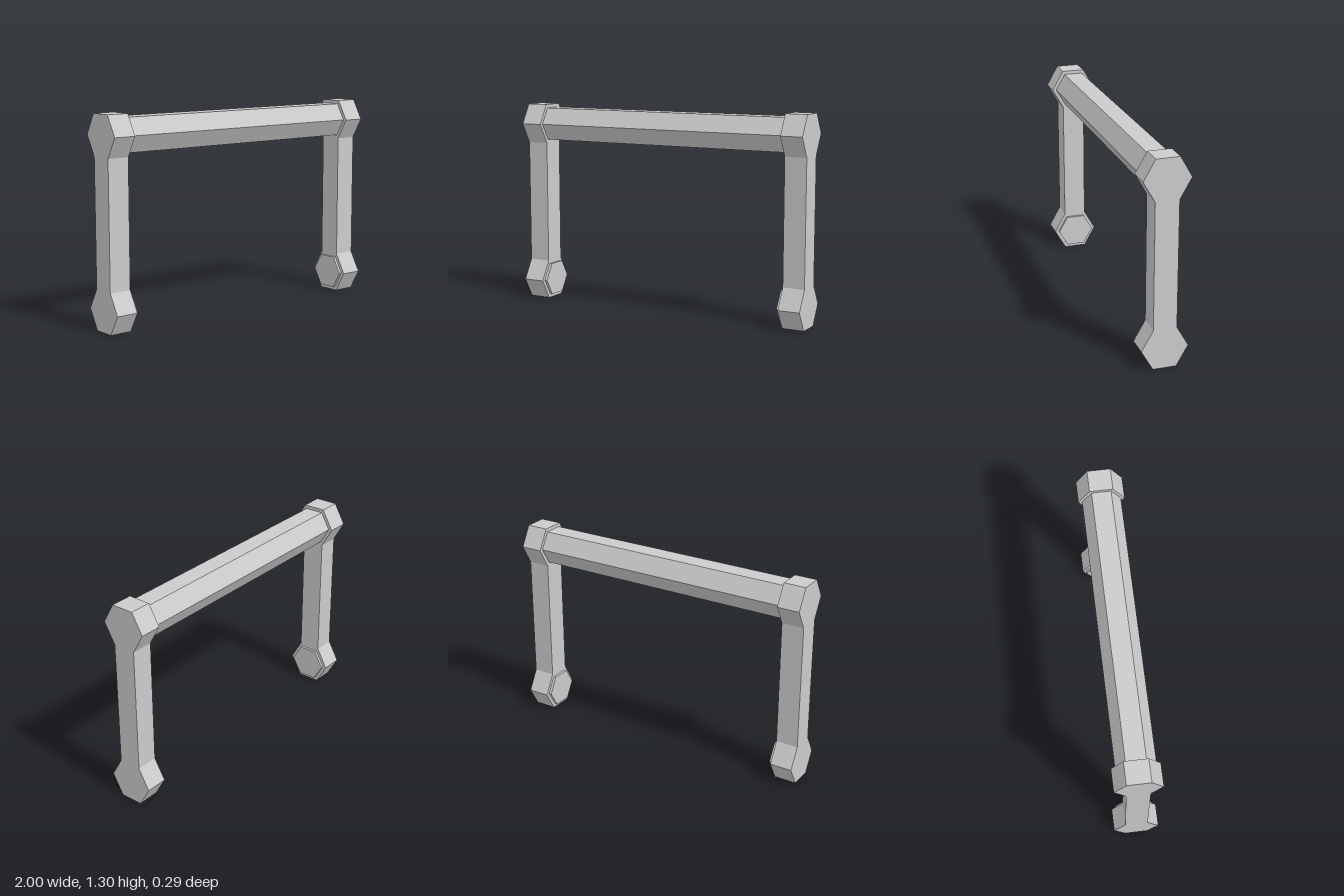
import * as THREE from 'three';

const OUTER = 1, INNER = 0.858;          // leg extents along x
const R = 0.145, H = 0.1275;             // joint radius and half height
const LOW = 0.1275, HIGH = 1.1775;       // joint centres

export function createModel() {
  const group = new THREE.Group();
  const material = new THREE.MeshStandardMaterial({ color: 0xcccccc, flatShading: true });

  // Extrudes a (z, y) outline along x from x0 to x1
  function prism(name, points, x0, x1) {
    const shape = new THREE.Shape(points.map(([z, y]) => new THREE.Vector2(z, y)));
    const geometry = new THREE.ExtrudeGeometry(shape, { depth: x1 - x0, bevelEnabled: false });
    geometry.rotateY(Math.PI / 2).translate(x0, 0, 0);
    const mesh = new THREE.Mesh(geometry, material);
    mesh.name = name;
    group.add(mesh);
  }

  // Hexagon with flat top and bottom
  const hexagon = (r, cy) => Array.from({ length: 6 }, (_, i) => {
    const a = i * Math.PI / 3;
    return [r * Math.cos(a), cy + r * Math.sin(a)];
  });

  // Leg outline: a straight post with a hexagonal joint at each end
  const half = [
    [R / 2, LOW - H], [R, LOW], [R / 2, LOW + H],
    [R / 2, HIGH - H], [R, HIGH], [R / 2, HIGH + H],
  ];
  const legOutline = [...half, ...half.map(([z, y]) => [-z, y]).reverse()];

  // Legs with a thin hexagonal pad on the inside of each foot
  prism('leftLeg', legOutline, INNER, OUTER);
  prism('rightLeg', legOutline, -OUTER, -INNER);
  prism('leftFootPad', hexagon(0.121, LOW + 0.001), INNER - 0.018, INNER);
  prism('rightFootPad', hexagon(0.121, LOW + 0.001), -INNER, -INNER + 0.018);

  // Crossbar between the upper joints
  prism('crossbar', hexagon(0.121, HIGH), -INNER, INNER);

  return group;
}
